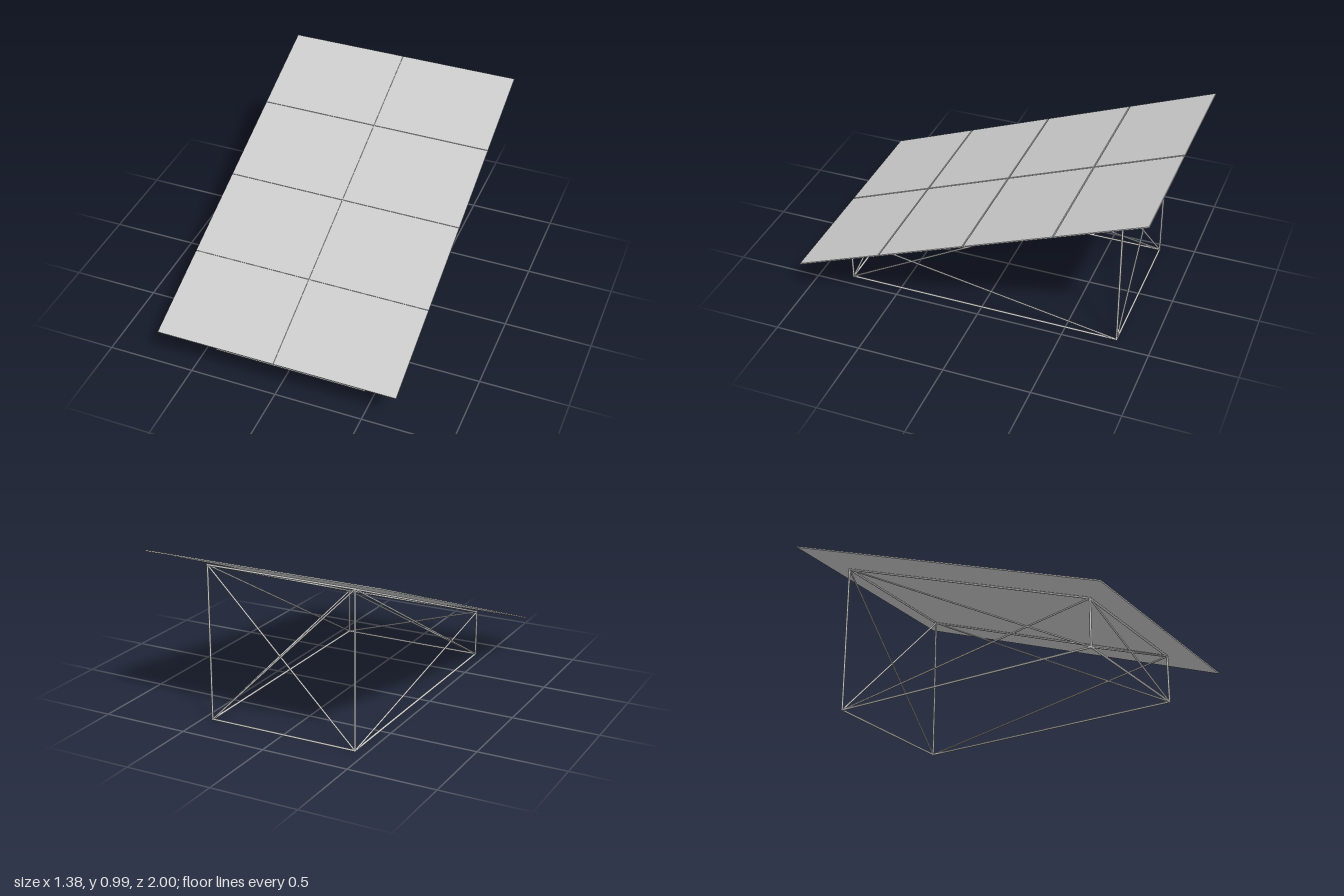
import * as THREE from 'three';

const material = new THREE.MeshStandardMaterial({ color: 0xcccccc });

// Round bar between two points
function bar(name, a, b, radius = 0.006) {
  const dir = new THREE.Vector3().subVectors(b, a);
  const mesh = new THREE.Mesh(new THREE.CylinderGeometry(radius, radius, dir.length(), 10), material);
  mesh.name = name;
  mesh.position.addVectors(a, b).multiplyScalar(0.5);
  mesh.quaternion.setFromUnitVectors(new THREE.Vector3(0, 1, 0), dir.normalize());
  return mesh;
}

function createFrame() {
  const frame = new THREE.Group();
  frame.name = 'supportFrame';

  // Corners in order around the base, with the matching post tops
  const corners = [[-0.44, 0.8], [0.44, 0.8], [0.44, -0.8], [-0.44, -0.8]];
  const feet = corners.map(([x, z]) => new THREE.Vector3(x, 0.008, z));
  const tops = corners.map(([x, z]) => new THREE.Vector3(x, z > 0 ? 0.282 : 0.894, z));

  // Each side: post, base rail, top rail and crossed braces
  for (let i = 0; i < 4; i++) {
    const j = (i + 1) % 4;
    frame.add(
      bar('post', feet[i], tops[i]),
      bar('baseRail', feet[i], feet[j]),
      bar('topRail', tops[i], tops[j]),
      bar('brace', feet[i], tops[j], 0.005),
      bar('brace', tops[i], feet[j], 0.005),
    );
    // Rounded joints at the corners
    for (const p of [feet[i], tops[i]]) {
      const joint = new THREE.Mesh(new THREE.SphereGeometry(0.007, 10, 8), material);
      joint.name = 'joint';
      joint.position.copy(p);
      frame.add(joint);
    }
  }
  return frame;
}

function createPanel() {
  const panel = new THREE.Group();
  panel.name = 'tiltedPanel';
  const width = 1.38, rise = 0.768, run = 2;
  const length = Math.hypot(rise, run) - 0.002;
  const columns = 2, rows = 4, gap = 0.008;

  // Thin backing sheet
  const backing = new THREE.Mesh(new THREE.BoxGeometry(width, 0.003, length), material);
  backing.name = 'backingSheet';
  backing.position.y = -0.0015;
  panel.add(backing);

  // Grid of plates separated by narrow grooves
  const w = (width - gap * (columns - 1)) / columns;
  const l = (length - gap * (rows - 1)) / rows;
  for (let c = 0; c < columns; c++) {
    for (let r = 0; r < rows; r++) {
      const plate = new THREE.Mesh(new THREE.BoxGeometry(w, 0.004, l), material);
      plate.name = 'panelPlate';
      plate.position.set((c - (columns - 1) / 2) * (w + gap), 0.002, (r - (rows - 1) / 2) * (l + gap));
      panel.add(plate);
    }
  }

  // Lean the panel so its front edge is low
  panel.rotation.x = Math.atan2(rise, run);
  panel.position.y = 0.606;
  return panel;
}

export function createModel() {
  const model = new THREE.Group();
  model.name = 'panelArray';
  model.add(createFrame(), createPanel());
  return model;
}
